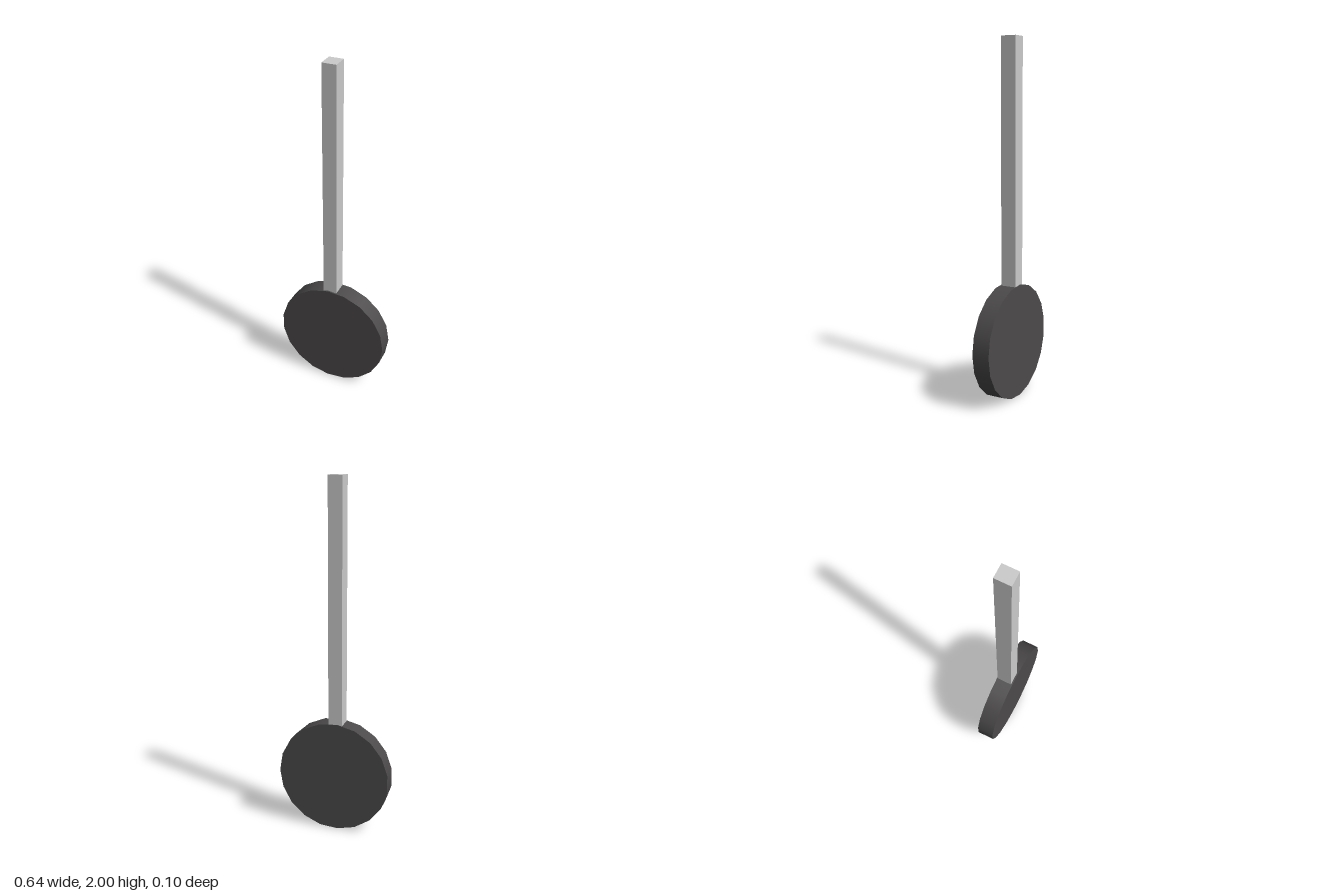
import * as THREE from 'three';

export function createModel() {
  const model = new THREE.Group();

  // Round weight: a 19-sided disc facing front, one corner pointing to +x
  const radius = 0.324;
  const discGeometry = new THREE.CylinderGeometry(radius, radius, 0.1, 19, 1, false, Math.PI / 2);
  discGeometry.rotateX(Math.PI / 2);
  const disc = new THREE.Mesh(discGeometry, new THREE.MeshStandardMaterial({ color: 0x4c4a4a }));
  disc.name = 'pendulumDisc';
  disc.position.set(-0.002, radius * Math.cos(Math.PI / 38), 0);
  model.add(disc);

  // Square rod, sunk into the top of the disc
  const rodBottom = 0.58, rodTop = 2;
  const rod = new THREE.Mesh(
    new THREE.BoxGeometry(0.079, rodTop - rodBottom, 0.089),
    new THREE.MeshStandardMaterial({ color: 0xcccccc })
  );
  rod.name = 'pendulumRod';
  rod.position.set(-0.0145, (rodTop + rodBottom) / 2, -0.0025);
  model.add(rod);

  return model;
}
